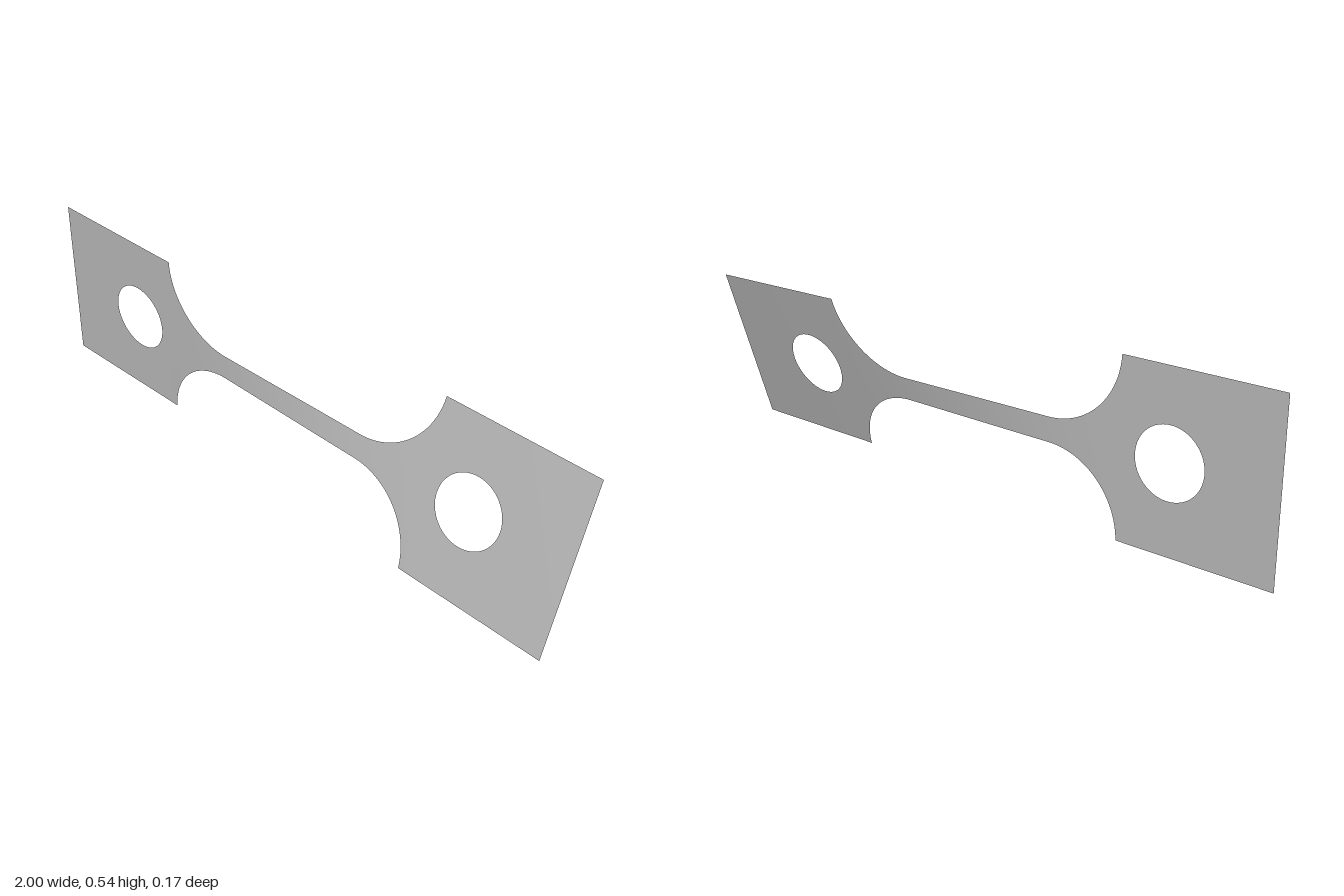
import * as THREE from 'three';

const MID = 0.271, HALF = 0.271, NECK = 0.039;   // centre height, head and neck half heights
const SHOULDER = 0.51, FILLET = 0.24, HOLE_X = 0.67, HOLE_R = 0.108;

// Twist angle about the long axis: one end is fixed, the other turned
function twist(x) {
  const neck = 17 * THREE.MathUtils.smoothstep(x, -0.55, 0.55);
  const head = 1.1 * THREE.MathUtils.clamp((x - 0.5) / 0.5, 0, 1);
  return THREE.MathUtils.degToRad(neck + head);
}

// Half height of the waist, with a round fillet up to each shoulder
function halfHeight(x) {
  const d = Math.abs(x) - (SHOULDER - FILLET);
  if (d <= 0) return NECK;
  return Math.min(HALF, NECK + FILLET - Math.sqrt(Math.max(0, FILLET * FILLET - d * d)));
}

// Sheet of rows x columns; point(i, j) gives flat [x, y], then the twist is applied
function sheet(rows, cols, point) {
  const pos = [], index = [];
  for (let i = 0; i <= rows; i++) {
    for (let j = 0; j <= cols; j++) {
      const [x, y] = point(i, j), a = twist(x);
      pos.push(x, MID + y * Math.cos(a), -y * Math.sin(a));
    }
  }
  for (let i = 0; i < rows; i++) {
    for (let j = 0; j < cols; j++) {
      const a = i * (cols + 1) + j, b = a + cols + 1;
      index.push(a, b, b + 1, a, b + 1, a + 1);
    }
  }
  const geo = new THREE.BufferGeometry();
  geo.setAttribute('position', new THREE.Float32BufferAttribute(pos, 3));
  geo.setIndex(index);
  geo.computeVertexNormals();
  return geo;
}

// Rectangular head with a round hole, made of rings from the hole to the outline
function headGeometry(side) {
  const x0 = side > 0 ? SHOULDER : -1, x1 = side > 0 ? 1 : -SHOULDER;
  const cx = side * HOLE_X, n = 20, rings = 8;
  const corners = [[x0, -HALF], [x1, -HALF], [x1, HALF], [x0, HALF]];
  return sheet(rings, n * 4, (i, j) => {
    const k = Math.floor(j / n) % 4, t = (j % n) / n;
    const p = corners[k], q = corners[(k + 1) % 4];
    const ox = p[0] + (q[0] - p[0]) * t, oy = p[1] + (q[1] - p[1]) * t;
    const a = Math.atan2(oy, ox - cx), s = i / rings;
    const ix = cx + HOLE_R * Math.cos(a), iy = HOLE_R * Math.sin(a);
    return [ix + (ox - ix) * s, iy + (oy - iy) * s];
  });
}

export function createModel() {
  const group = new THREE.Group();
  group.name = 'twistedTestStrip';
  const metal = new THREE.MeshStandardMaterial({ color: 0xb4b4b4, side: THREE.DoubleSide });
  metal.name = 'grey metal';

  function add(name, geometry) {
    const mesh = new THREE.Mesh(geometry, metal);
    mesh.name = name;
    group.add(mesh);
  }

  // Narrow waist; columns are packed closer near the steep shoulders
  const cols = 96, rows = 8;
  add('waist', sheet(cols, rows, (i, j) => {
    const x = SHOULDER * Math.sin((i / cols - 0.5) * Math.PI);
    return [x, halfHeight(x) * (2 * j / rows - 1)];
  }));

  // Gripping heads
  add('leftHead', headGeometry(1));
  add('rightHead', headGeometry(-1));
  return group;
}
